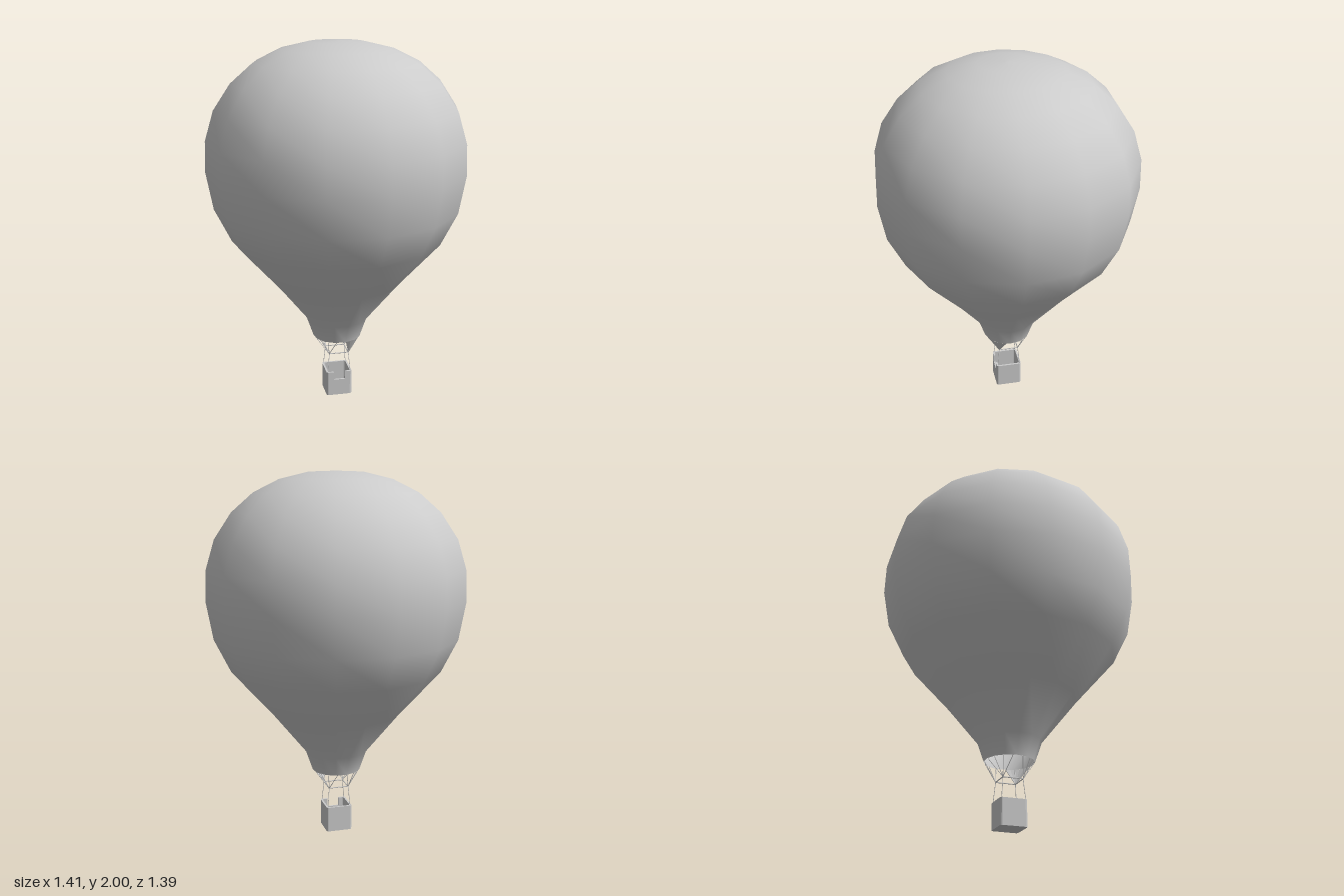
import * as THREE from 'three';

const grey = new THREE.MeshStandardMaterial({ color: 0xcccccc });
const greyThin = new THREE.MeshStandardMaterial({ color: 0xcccccc, side: THREE.DoubleSide });

const MOUTH_Y = 0.35, MOUTH_R = 0.134, FRAME_Y = 0.252, FRAME = 0.055;
const BASKET = 0.073, WALL = 0.01, BASKET_TOP = 0.142, NOTCH_Y = 0.095, NOTCH = 0.033;

function add(parent, name, geometry, material = grey) {
  const mesh = new THREE.Mesh(geometry, material);
  mesh.name = name;
  parent.add(mesh);
  return mesh;
}

// Thin straight rod between two points
function addRod(parent, name, a, b, radius = 0.0018) {
  const dir = b.clone().sub(a);
  const rod = add(parent, name, new THREE.CylinderGeometry(radius, radius, dir.length(), 5));
  rod.position.copy(a).addScaledVector(dir, 0.5);
  rod.quaternion.setFromUnitVectors(new THREE.Vector3(0, 1, 0), dir.normalize());
}

// Counter-clockwise outline of a square with rounded corners, starting at its lower edge
function roundedSquare(half, radius) {
  const pts = [];
  for (let c = 0; c < 4; c++) {
    const mid = (c - 0.5) * Math.PI / 2;
    const cx = Math.sign(Math.cos(mid)) * (half - radius);
    const cy = Math.sign(Math.sin(mid)) * (half - radius);
    for (let i = 0; i <= 3; i++) {
      const a = mid + (i / 3 - 0.5) * Math.PI / 2;
      pts.push(new THREE.Vector2(cx + radius * Math.cos(a), cy + radius * Math.sin(a)));
    }
  }
  return pts;
}

// Extrude a plan outline upwards from y0 to y1
function extrudeUp(shape, y0, y1) {
  return new THREE.ExtrudeGeometry(shape, { depth: y1 - y0, bevelEnabled: false })
    .rotateX(-Math.PI / 2).translate(0, y0, 0);
}

function mouthPoint(phi, r = MOUTH_R) {
  return new THREE.Vector3(r * Math.sin(phi), MOUTH_Y, r * Math.cos(phi));
}

function createBasket() {
  const basket = new THREE.Group();
  basket.name = 'basket';
  const outer = roundedSquare(BASKET, 0.012);
  const inner = roundedSquare(BASKET - WALL, 0.008);
  const v = (x, y) => new THREE.Vector2(x, y);

  add(basket, 'basketFloor', extrudeUp(new THREE.Shape(outer), 0, 0.012));

  const ring = new THREE.Shape(outer);
  ring.holes.push(new THREE.Path(inner));
  add(basket, 'basketLowerWall', extrudeUp(ring, 0.012, NOTCH_Y));

  // Upper wall is left open at the front for the step-in notch
  const open = new THREE.Shape([
    v(NOTCH, -BASKET), ...outer, v(-NOTCH, -BASKET),
    v(-NOTCH, WALL - BASKET), ...inner.slice().reverse(), v(NOTCH, WALL - BASKET),
  ]);
  add(basket, 'basketUpperWall', extrudeUp(open, NOTCH_Y, BASKET_TOP));
  return basket;
}

function createRigging() {
  const rigging = new THREE.Group();
  rigging.name = 'rigging';
  const corner = (q, h, y) => {
    const a = (q + 0.5) * Math.PI / 2;
    return new THREE.Vector3(Math.sign(Math.sin(a)) * h, y, Math.sign(Math.cos(a)) * h);
  };
  for (let q = 0; q < 4; q++) {
    const top = corner(q, FRAME, FRAME_Y);
    addRod(rigging, 'frameBar', top, corner(q + 1, FRAME, FRAME_Y), 0.003);
    addRod(rigging, 'basketRope', corner(q, 0.066, BASKET_TOP - 0.01), top);
    // Fan of ropes from each frame corner to the mouth
    for (let i = 0; i < 4; i++) {
      const phi = q * Math.PI / 2 + THREE.MathUtils.degToRad(12 + i * 22);
      addRod(rigging, 'mouthRope', top, mouthPoint(phi, MOUTH_R - 0.004));
    }
  }
  return rigging;
}

// Curved cloth fan that narrows from the mouth to one frame corner
function createScoop() {
  const pos = [];
  const n = 6, apex = [FRAME + 0.002, FRAME_Y, FRAME + 0.002];
  const at = i => mouthPoint(THREE.MathUtils.degToRad(12 + 66 * i / n), MOUTH_R - 0.002).toArray();
  for (let i = 0; i < n; i++) pos.push(...apex, ...at(i + 1), ...at(i));
  const geo = new THREE.BufferGeometry();
  geo.setAttribute('position', new THREE.Float32BufferAttribute(pos, 3));
  geo.computeVertexNormals();
  return geo;
}

export function createModel() {
  const model = new THREE.Group();
  model.name = 'hotAirBalloon';

  // Envelope: fourteen gores, open at the mouth
  const profile = [
    [MOUTH_R, MOUTH_Y], [0.172, 0.46], [0.358, 0.69], [0.578, 0.936], [0.668, 1.118],
    [0.705, 1.323], [0.7, 1.49], [0.652, 1.65], [0.56, 1.788], [0.443, 1.89],
    [0.305, 1.958], [0.15, 1.995], [0, 2],
  ].map(([r, y]) => new THREE.Vector2(r, y));
  add(model, 'envelope',
    new THREE.LatheGeometry(profile, 14, THREE.MathUtils.degToRad(9.7)), greyThin);

  add(model, 'scoop', createScoop(), greyThin);
  model.add(createRigging(), createBasket());
  return model;
}
